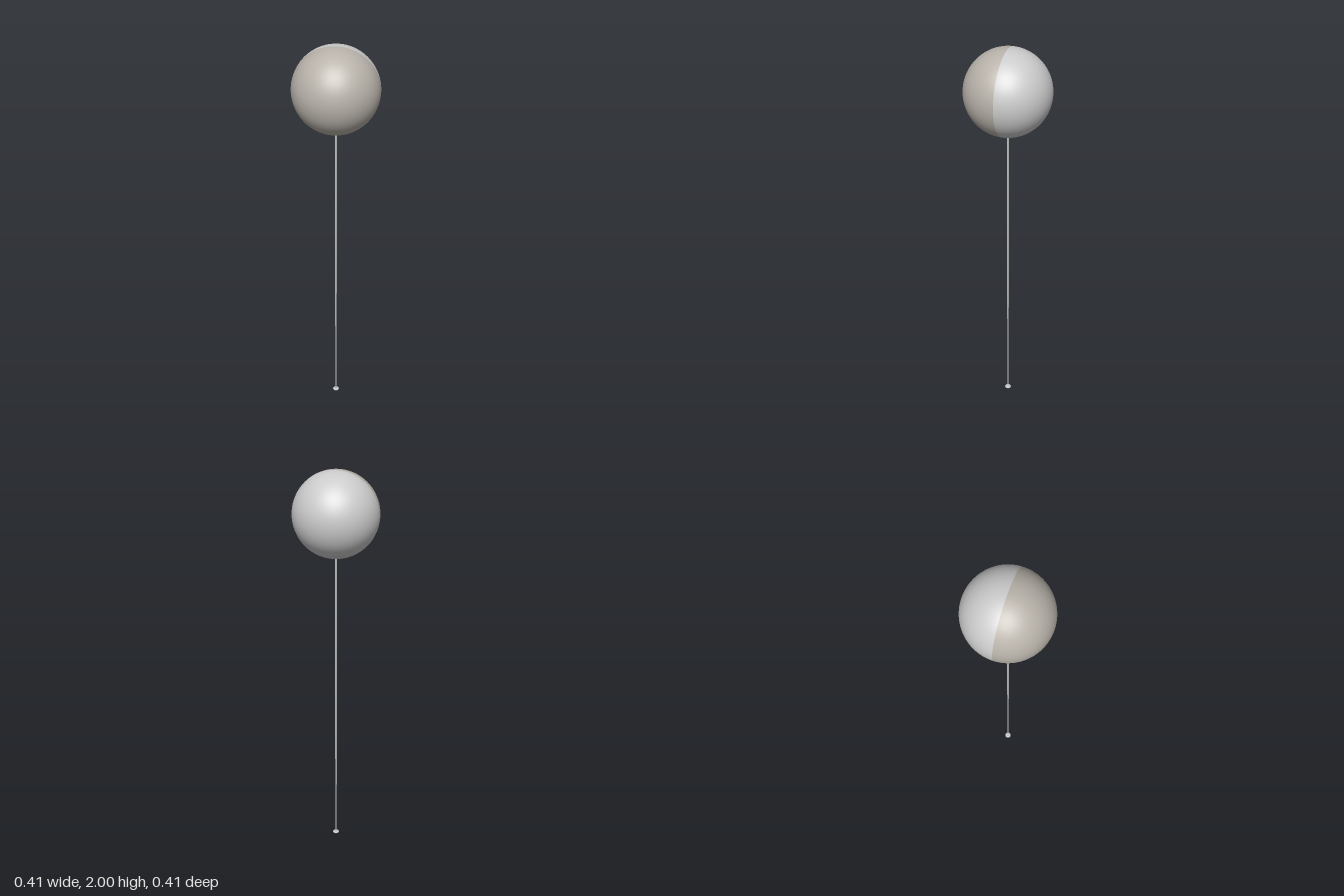
import * as THREE from 'three';

export function createModel() {
  const model = new THREE.Group();
  const grey = new THREE.MeshStandardMaterial({ color: 0xcccccc });
  const warm = new THREE.MeshStandardMaterial({ color: 0xb8b2aa, side: THREE.DoubleSide });
  const cool = new THREE.MeshStandardMaterial({ color: 0xcccccc, side: THREE.DoubleSide });

  const R = 0.206;
  const centreY = 2 - R;

  const add = (name, geometry, material, y) => {
    const mesh = new THREE.Mesh(geometry, material);
    mesh.name = name;
    mesh.position.y = y;
    model.add(mesh);
    return mesh;
  };

  // Ball: two half shells meeting on the plane z = 0
  const half = (start) => new THREE.SphereGeometry(R, 48, 64, start, Math.PI);
  add('frontHalfBall', half(0), warm, centreY);
  add('backHalfBall', half(Math.PI), cool, centreY);

  // Thin stem from the foot up into the ball
  const stemTop = centreY - R + 0.01;
  add('stem', new THREE.CylinderGeometry(0.004, 0.004, stemTop, 24), grey, stemTop / 2);

  // Small flat foot with a softened upper edge
  const footProfile = [[0, 0], [0.016, 0], [0.016, 0.003], [0.014, 0.005], [0, 0.005]]
    .map(([x, y]) => new THREE.Vector2(x, y));
  add('foot', new THREE.LatheGeometry(footProfile, 32), grey, 0);

  return model;
}
